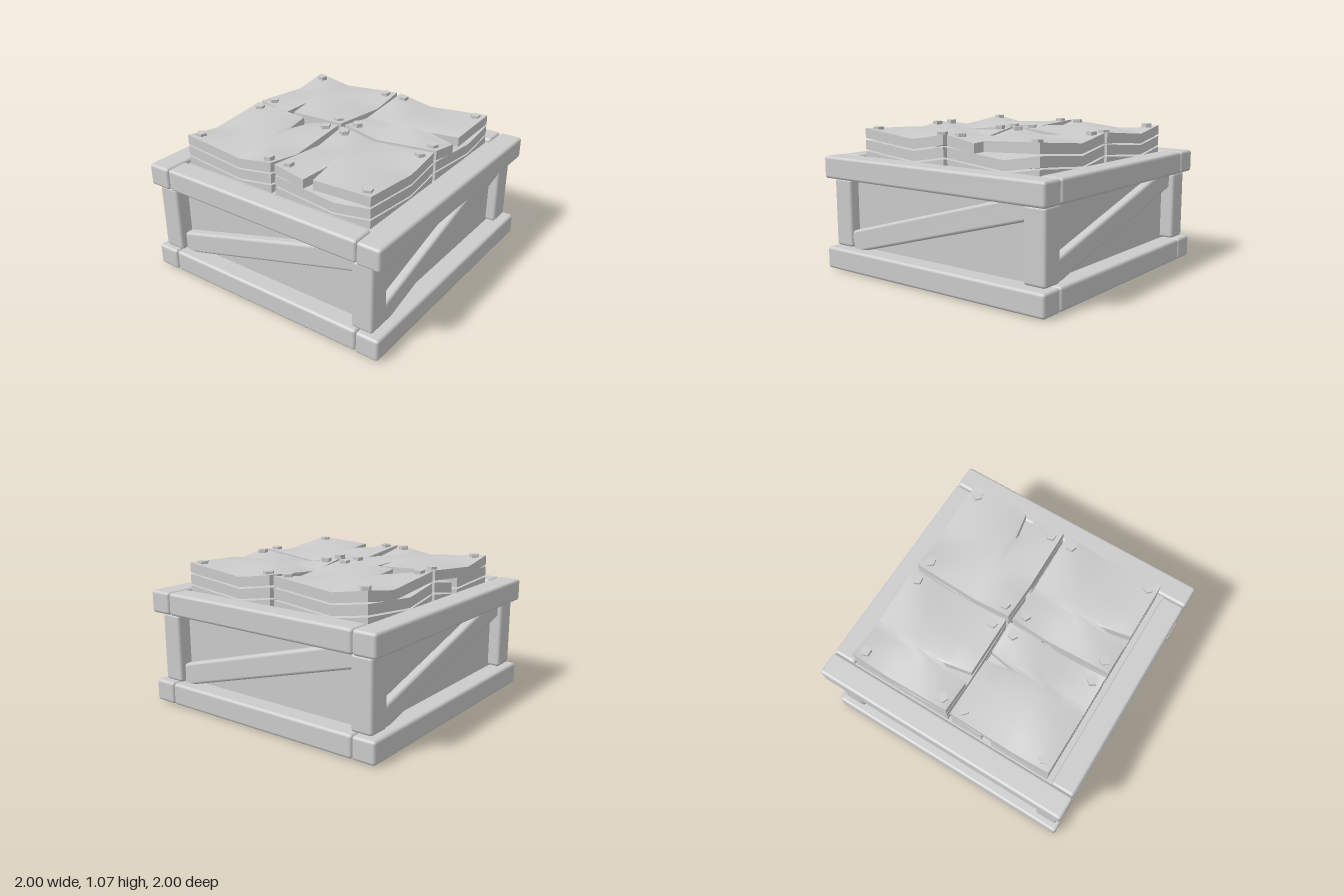
import * as THREE from 'three';
import { toCreasedNormals } from 'three/addons/utils/BufferGeometryUtils.js';
import { RoundedBoxGeometry } from 'three/addons/geometries/RoundedBoxGeometry.js';

const material = new THREE.MeshStandardMaterial({ color: 0xcccccc });
const HALF = 0.3875; // half the width of a sheet

function add(parent, name, geometry, x, y, z) {
  const mesh = new THREE.Mesh(geometry, material);
  mesh.name = name;
  mesh.position.set(x, y, z);
  parent.add(mesh);
  return mesh;
}

// Beam with rounded edges, given by its extents
function beam(parent, name, x0, x1, y0, y1, z0, z1) {
  const geometry = new RoundedBoxGeometry(x1 - x0, y1 - y0, z1 - z0, 2, 0.022);
  return add(parent, name, geometry, (x0 + x1) / 2, (y0 + y1) / 2, (z0 + z1) / 2);
}

// Rises from 0 at both edges to 1 at the bend line
function tent(v) {
  const d = v + 0.105;
  return Math.max(0, 1 - Math.abs(d) / (d < 0 ? HALF - 0.105 : HALF + 0.105));
}

// How far the warped sheet dips at a point
function dip(x, z) {
  const reach = Math.abs(z) / HALF;
  const flap = z > 0 && x > -0.1 ? 0.45 : 1;
  return 0.048 * Math.max(tent(x) * reach * flap, tent(z) * Math.abs(x) / HALF);
}

// Warped sheet with a pointed crack in its +z edge
function sheetGeometry() {
  const columns = [-HALF, -0.25, -0.146, -0.105, -0.064, 0.09, 0.24, HALF];
  const n = columns.length - 1;
  const geometry = new THREE.BoxGeometry(n, 0.072, 2 * HALF, n, 1, 8);
  const p = geometry.attributes.position;
  for (let i = 0; i < p.count; i++) {
    const column = Math.round(p.getX(i) + n / 2);
    const x = columns[column];
    const depth = column === 3 ? 2 * HALF - 0.22 : 2 * HALF;
    const z = -HALF + (p.getZ(i) + HALF) / (2 * HALF) * depth;
    p.setXYZ(i, x, p.getY(i) - dip(x, z), z);
  }
  return toCreasedNormals(geometry, 0.6);
}

export function createModel() {
  const model = new THREE.Group();
  model.name = 'crate';

  // Thin deck under the sheets
  add(model, 'deck', new THREE.BoxGeometry(1.7, 0.01, 1.7), 0, 0.82, 0);

  // Lower and upper rails
  for (const [level, y0, y1] of [['lower', 0.005, 0.17], ['upper', 0.69, 0.857]]) {
    for (const s of [-1, 1]) {
      const start = s < 0 ? -1 : 0.82;
      beam(model, level + 'SideRail', start, start + 0.18, y0, y1, -1, 1);
      beam(model, level + 'CrossRail', -0.82, 0.817, y0, y1, start, start + 0.175);
    }
  }

  // Corner posts
  for (const x of [-0.95, 0.765])
    for (const z of [-0.96, 0.795])
      beam(model, 'cornerPost', x, x + 0.168, 0.175, 0.688, z, z + 0.173);

  // Four walls: a thin panel down to the ground with a diagonal brace through it
  for (let i = 0; i < 4; i++) {
    const wall = new THREE.Group();
    wall.name = 'wall';
    wall.rotation.y = i * Math.PI / 2;
    add(wall, 'panel', new THREE.BoxGeometry(1.7, 0.82, 0.012), 0, 0.41, 0.85);
    const brace = beam(wall, 'diagonalBrace', -0.84, 0.84, 0.358, 0.522, 0.765, 0.918);
    brace.rotation.z = 0.272;
    model.add(wall);
  }

  // Four stacks of warped sheets; turns are quarter turns from the top layer down
  const sheet = sheetGeometry();
  const bolt = new THREE.CylinderGeometry(0.04, 0.04, 0.03, 5).toNonIndexed();
  bolt.computeVertexNormals();
  const stacks = [
    [0.393, 0.393, [0, 3, 3]],
    [-0.417, 0.393, [2, 3, 3]],
    [0.393, -0.417, [1, 0, 0]],
    [-0.417, -0.417, [0, 1, 1]],
  ];
  stacks.forEach(([x, z, turns], k) => {
    const stack = new THREE.Group();
    stack.name = 'sheetStack';
    stack.position.set(x, 0, z);
    turns.forEach((turn, layer) => {
      const mesh = add(stack, 'sheet', sheet, 0, 1.02 - layer * 0.085, 0);
      mesh.rotation.y = turn * Math.PI / 2;
    });
    for (const sx of [-1, 1])
      for (const sz of [-1, 1]) {
        const mesh = add(stack, 'bolt', bolt, sx * 0.32, 1.053, sz * 0.32);
        mesh.rotation.y = k + sx * 0.7 + sz * 0.4;
      }
    model.add(stack);
  });

  return model;
}
